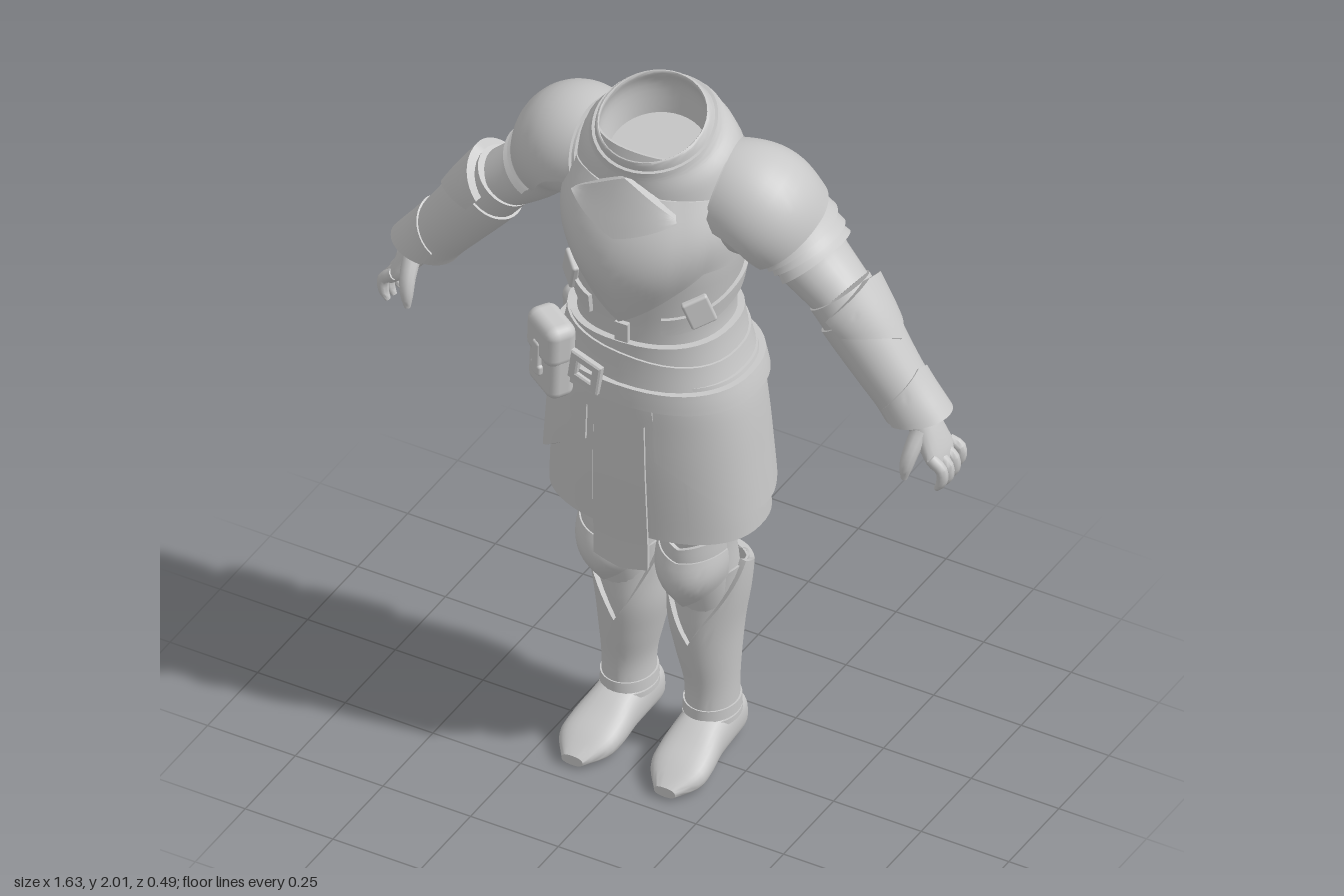
import * as THREE from 'three';
import { toCreasedNormals } from 'three/addons/utils/BufferGeometryUtils.js';
import { RoundedBoxGeometry } from 'three/addons/geometries/RoundedBoxGeometry.js';

const PI = Math.PI, { abs, sin, cos, max, min } = Math;
const V = (x, y, z) => new THREE.Vector3(x, y, z);
const lerp = THREE.MathUtils.lerp;
const grey = new THREE.MeshStandardMaterial({ color: 0xc8c8c8, side: THREE.DoubleSide });
grey.name = 'plain grey';

// Swept surface through sections [x, y, z, ru, rv]; angle 0 faces ref, s counts sections
function sweep(rows, { ref = V(0, 0, 1), dir = null, p = 1 } = {}) {
  const path = new THREE.CatmullRomCurve3(rows.map(r => V(r[0], r[1], r[2])), false, 'catmullrom');
  const size = new THREE.CatmullRomCurve3(rows.map(r => V(r[3], r[4], 0)), false, 'catmullrom');
  const n = rows.length - 1;
  const surf = (a, s, off = 0, k = 1) => {
    const u = min(1, max(0, s / n)), c = path.getPoint(u), r = size.getPoint(u);
    const T = dir || path.getTangent(u);
    const B = ref.clone().addScaledVector(T, -ref.dot(T)).normalize();
    const U = B.clone().cross(T);
    const pw = w => Math.sign(w) * abs(w) ** p;
    return c.addScaledVector(U, k * (r.x + off) * pw(sin(a))).addScaledVector(B, k * (r.y + off) * pw(cos(a)));
  };
  surf.n = n;
  return surf;
}

// Level body sections [rx, zFront, zBack] every 0.1 down from yTop, addressed by height
function levels(yTop, rows) {
  const f = sweep(rows.map(([rx, zf, zb], i) => [0, yTop - i * 0.1, (zf + zb) / 2, rx, (zf - zb) / 2]),
    { dir: V(0, -1, 0), p: 0.87 });
  return (a, y, off, k) => f(a, (yTop - y) * 10, off, k);
}

function gridMesh(name, nu, nv, at, crease = 0.7) {
  const pos = [], idx = [], w = nv + 1;
  for (let i = 0; i <= nu; i++) for (let j = 0; j <= nv; j++) pos.push(...at(i, j).toArray());
  for (let i = 0; i < nu; i++) for (let j = 0; j < nv; j++) {
    const q = i * w + j;
    idx.push(q, q + 1, q + w, q + w, q + 1, q + w + 1);
  }
  const g = new THREE.BufferGeometry();
  g.setAttribute('position', new THREE.Float32BufferAttribute(pos, 3));
  g.setIndex(idx);
  const m = new THREE.Mesh(toCreasedNormals(g, crease), grey);
  m.name = name;
  return m;
}

// Closed tube with capped ends
function tube(name, S, t0 = 0, t1 = S.n, nu = 28, nv = 16) {
  return gridMesh(name, nu, nv + 2, (i, j) => {
    const v = min(1, max(0, (j - 1) / nv));
    return S(-PI + 2 * PI * i / nu, lerp(t0, t1, v), 0, j === 0 || j === nv + 2 ? 0 : 1);
  });
}

// Armour plate lying on a surface, with edges turned in
function plate(name, S, a0, a1, top, bot, off = 0.015, nu = 28, nv = 8) {
  const fn = f => (typeof f === 'function' ? f : () => f);
  const [T, B, O] = [top, bot, off].map(fn);
  return gridMesh(name, nu + 2, nv + 2, (i, j) => {
    const u = min(1, max(0, (i - 1) / nu)), v = min(1, max(0, (j - 1) / nv));
    const rim = i === 0 || j === 0 || i === nu + 2 || j === nv + 2, a = lerp(a0, a1, u);
    return S(a, lerp(T(a), B(a), v), rim ? -0.006 : O(a, v));
  });
}

function box(name, w, h, d, x, y, z, ry = 0, rz = 0) {
  const m = new THREE.Mesh(new RoundedBoxGeometry(w, h, d, 3, min(w, h, d) * 0.35), grey);
  m.name = name;
  m.position.set(x, y, z);
  m.rotation.set(0, ry, rz);
  return m;
}

function group(name, ...parts) {
  const g = new THREE.Group();
  g.name = name;
  g.add(...parts);
  return g;
}

function buildTorso() {
  const S = levels(1.9, [[0.17, 0.11, -0.16], [0.21, 0.142, -0.195], [0.232, 0.172, -0.2], [0.228, 0.185, -0.195],
    [0.212, 0.178, -0.18], [0.198, 0.172, -0.165], [0.21, 0.175, -0.175], [0.24, 0.185, -0.185]]);
  const g = group('torso', plate('tunic', S, -PI, PI, 1.9, 1.2, 0, 48, 20));
  // breastplate with a centre ridge and pointed lower edge
  g.add(plate('breastplate', S, -1.45, 1.45, a => 1.79 + 0.02 * cos(a), a => 1.435 + 0.17 * min(1, abs(a) / 0.95),
    (a, v) => 0.01 + 0.036 * sin(PI * v) * cos(a) ** 2 + 0.016 * max(0, 1 - abs(a) / 0.6), 40, 14));
  g.add(plate('chestDiamond', S, -0.54, 0.54, a => 1.86 - 0.08 * abs(a) / 0.54, a => 1.71 + 0.065 * abs(a) / 0.54,
    (a, v) => 0.046 + 0.012 * v - 0.012 * abs(a), 16, 6));
  g.add(plate('bellyTab', S, -0.06, 0.06, 1.42, 1.35, 0.014, 4, 3));
  // layered chevrons on the back
  g.add(plate('backPlate', S, PI - 1.1, PI + 1.1, 1.87, a => 1.48 + 0.24 * abs(a - PI), 0.014, 36, 12));
  g.add(plate('backChevron', S, PI - 0.75, PI + 0.75, a => 1.72 + 0.14 * abs(a - PI),
    a => 1.6 + 0.2 * abs(a - PI), 0.022, 24, 6));
  // crossing rib straps, buckles and waist bands
  for (const s of [1, -1]) {
    g.add(plate('ribStrap', S, s * 1.9 - 1.45, s * 1.9 + 1.45, a => 1.5 - 0.05 * cos(a), a => 1.45 - 0.05 * cos(a), 0.01));
    const b = S(s * 0.95, 1.48, 0.01);
    g.add(box('ribBuckle', 0.07, 0.085, 0.02, b.x, b.y, b.z, s * 0.75, s * 0.35));
  }
  g.add(plate('waistBand', S, -PI, PI, a => 1.365 + 0.012 * sin(a), a => 1.31 - 0.012 * sin(a), 0.018, 40, 4));
  g.add(plate('waistSash', S, -PI, PI, a => 1.335 - 0.025 * sin(a), a => 1.25 - 0.03 * sin(a), 0.024, 40, 4));
  return g;
}

function buildCollar() {
  // tilted open neck: outer flare, rim, then the hollow inside
  const S = sweep([[0, 1.825, -0.015, 0.222, 0.185], [0, 1.88, -0.005, 0.2, 0.172], [0, 1.92, 0.01, 0.16, 0.156],
    [0, 1.957, 0.027, 0.143, 0.144], [0, 1.954, 0.027, 0.135, 0.136], [0, 1.91, 0.014, 0.143, 0.138],
    [0, 1.83, 0, 0.13, 0.12]], { dir: V(0, 0.94, 0.341) });
  return group('collar', tube('gorget', S, 0, S.n, 40, 24),
    // raised front edges meeting in a V below the throat
    plate('collarFold', S, -PI, PI, a => 1.55 + 0.35 * abs(cos(a / 2)), a => 2.4 - 0.5 * max(0, -cos(a)) ** 4, 0.008, 40, 6));
}

function buildSkirt() {
  const S = levels(1.3, [[0.228, 0.185, -0.185], [0.256, 0.19, -0.192], [0.268, 0.19, -0.197], [0.275, 0.19, -0.202],
    [0.282, 0.187, -0.204], [0.288, 0.183, -0.206], [0.29, 0.18, -0.206], [0.29, 0.18, -0.206]]);
  const g = group('skirt');
  g.add(plate('underSkirt', S, 0.16, 2 * PI - 0.16, 1.29, 0.775, 0, 56, 14));
  g.add(plate('frontTabard', S, -0.21, 0.21, 1.2, a => 0.665 + 0.08 * abs(a), 0.012, 10, 12));
  g.add(plate('backPanel', S, PI - 0.44, PI + 0.44, 1.15, 0.72, 0.012, 14, 12));
  for (const s of [1, -1]) {
    // curved hip guards, lowest at the side
    const bottom = a => 1.06 - 0.21 * abs(sin(a)) ** 1.6;
    const [a0, a1] = s > 0 ? [0.3, PI - 0.3] : [-PI + 0.3, -0.3];
    g.add(plate('hipGuard', S, a0, a1, 1.26, bottom, (a, v) => 0.008 + (0.004 + 0.007 * v) * abs(sin(a)), 32, 10));
    g.add(plate('frontFlap', S, s * 0.42 - 0.19, s * 0.42 + 0.19, 1.2, a => 0.77 + 0.06 * abs(a), 0.006, 8, 12));
    g.add(plate('backTasset', S, PI + s * 0.42 - 0.4, PI + s * 0.42 + 0.4, 1.22,
      a => 1.06 + 0.22 * abs(a - PI - s * 0.42), 0.018, 14, 5));
  }
  g.add(plate('frontPoint', S, -0.3, 0.3, 1.2, a => 1.07 + 0.3 * abs(a), 0.02, 12, 5));
  g.add(plate('backPoint', S, PI - 0.35, PI + 0.35, 1.22, a => 1.02 + 0.3 * abs(a - PI), (a, v) => 0.022 + 0.018 * v, 12, 5));
  g.add(plate('belt', S, -PI, PI, 1.25, 1.195, 0.028, 48, 4));
  // square buckle frame
  const f = new THREE.Shape([[-0.045, -0.04], [0.045, -0.04], [0.045, 0.04], [-0.045, 0.04]].map(q => new THREE.Vector2(...q)));
  f.holes.push(new THREE.Path([[-0.027, -0.023], [-0.027, 0.023], [0.027, 0.023], [0.027, -0.023]].map(q => new THREE.Vector2(...q))));
  const buckle = new THREE.Mesh(new THREE.ExtrudeGeometry(f, { depth: 0.012, bevelSize: 0.004, bevelThickness: 0.004, bevelSegments: 1 }), grey);
  buckle.name = 'beltBuckle';
  buckle.position.set(-0.085, 1.255, 0.205);
  buckle.rotation.set(0, -0.2, -0.15);
  g.add(buckle);
  return g;
}

function buildPouch(x, y, z, ry, w, h) {
  const g = group('pouch', box('pouchBody', w, h, 0.075, 0, 0, 0), box('pouchFlap', w * 1.04, h * 0.55, 0.085, 0, h * 0.24, 0.004),
    box('pouchStrap', 0.03, h * 0.45, 0.02, 0, 0, 0.042), box('pouchClasp', 0.045, 0.03, 0.02, 0, -h * 0.15, 0.041));
  g.position.set(x, y, z);
  g.rotation.set(0, ry, -0.06);
  return g;
}

function buildArm() {
  const upper = sweep([[0.16, 1.76, -0.03, 0.13, 0.125], [0.262, 1.735, -0.05, 0.136, 0.14], [0.335, 1.655, -0.085, 0.096, 0.118],
    [0.395, 1.585, -0.09, 0.085, 0.1], [0.48, 1.52, -0.08, 0.076, 0.085]]);
  const fore = sweep([[0.475, 1.53, -0.075, 0.085, 0.09], [0.54, 1.45, -0.072, 0.084, 0.086], [0.61, 1.36, -0.068, 0.076, 0.076],
    [0.66, 1.295, -0.068, 0.071, 0.07], [0.7, 1.24, -0.068, 0.074, 0.07], [0.73, 1.195, -0.068, 0.078, 0.072]]);
  const g = group('arm', tube('sleeve', upper), tube('forearm', fore, 0, 3.3));
  // angle of the upper, outer side of the limb
  const out = PI / 2, d = a => abs(a - out);
  // the cuff is cut level, so it runs further down on the outer side
  const cuff = a => 4 + 0.55 * cos(d(a));
  g.add(plate('pauldron', upper, out - 1.75, out + 1.75, 0.1, a => 1.95 - 0.12 * d(a), (a, v) => 0.01 + 0.014 * v, 32, 14));
  for (let k = 0; k < 3; k++)
    g.add(plate('shoulderLame', upper, out - 1.75, out + 1.75, 1.8 + 0.38 * k, a => 2.32 + 0.38 * k - 0.1 * d(a),
      (a, v) => 0.008 + 0.014 * v, 28, 4));
  g.add(plate('vambrace', fore, out - PI, out + PI, a => 0.15 + 0.45 * min(1, d(a) / 1.4), cuff, 0.007, 36, 14));
  g.add(plate('elbowPlate', fore, out - 1.5, out + 1.5, a => 0.3 * d(a) / 1.5, a => 1.6 - 0.5 * d(a), (a, v) => 0.024 - 0.01 * v, 24, 8));
  g.add(plate('cuffPlate', fore, out - 1.9, out + 1.9, a => 2.5 + 0.3 * d(a), cuff, 0.012, 24, 6));
  // hand with four curled fingers and a thumb
  const hand = group('hand', tube('palm', sweep([[0.685, 1.265, -0.068, 0.045, 0.048], [0.725, 1.21, -0.068, 0.038, 0.048],
    [0.762, 1.15, -0.066, 0.028, 0.058], [0.778, 1.125, -0.066, 0.018, 0.054]]), 0, 3, 18, 9));
  for (let k = 0; k < 4; k++) {
    const z = -0.02 - 0.031 * k, e = [0.005, 0, 0.004, 0.018][k];
    hand.add(tube('finger', sweep([[0.765, 1.15, z, 0.017, 0.016], [0.795, 1.12 + e, z - 0.002, 0.016, 0.016],
      [0.796, 1.085 + e, z - 0.002, 0.014, 0.014], [0.782, 1.06 + e, z, 0.007, 0.008]]), 0, 3, 10, 9));
  }
  hand.add(tube('thumb', sweep([[0.725, 1.21, -0.04, 0.024, 0.024], [0.718, 1.165, -0.005, 0.021, 0.02],
    [0.712, 1.125, 0.01, 0.017, 0.016], [0.708, 1.09, 0.013, 0.008, 0.008]]), 0, 3, 10, 9));
  g.add(hand);
  return g;
}

function buildLeg() {
  const down = V(0, -1, 0);
  const thigh = sweep([[0.125, 1.0, 0, 0.115, 0.13], [0.12, 0.85, -0.01, 0.1, 0.115], [0.113, 0.7, -0.012, 0.088, 0.097],
    [0.113, 0.57, -0.035, 0.085, 0.095], [0.112, 0.45, -0.06, 0.08, 0.085]], { dir: down });
  // greave sections every 0.1 from the knee to the ankle
  const shin = sweep([[0.113, 0.7, -0.045, 0.1, 0.1], [0.113, 0.6, -0.057, 0.101, 0.097], [0.11, 0.5, -0.062, 0.096, 0.094],
    [0.104, 0.4, -0.062, 0.088, 0.092], [0.11, 0.3, -0.062, 0.075, 0.082], [0.118, 0.2, -0.064, 0.063, 0.072],
    [0.118, 0.1, -0.064, 0.064, 0.078]], { dir: down });
  const s = (a, y, o, k) => shin(a, (0.7 - y) * 10, o, k);
  const g = group('leg', tube('thigh', thigh));
  g.add(plate('boot', s, -PI, PI, a => 0.54 + 0.06 * abs(sin(a)), 0.08, 0, 32, 16));
  // greave with a deep V at the front, rising to points at the sides
  g.add(plate('greave', s, -PI, PI,
    a => { const b = abs(a); return b < 1.45 ? lerp(0.36, 0.615, b / 1.45) : lerp(0.615, 0.57, min(1, (b - 1.45) / 0.7)); },
    a => 0.14 - 0.02 * cos(a), (a, v) => 0.01 * (1 - v) + 0.003, 52, 14));
  for (const y of [0.15, 0.115]) g.add(plate('ankleBand', s, -PI, PI, y, y - 0.03, 0.008, 28, 3));
  // knee guard: two layered, pointed shells
  const knee = sweep([[0.113, 0.74, -0.008, 0.088, 0.098], [0.113, 0.66, -0.01, 0.09, 0.112], [0.113, 0.58, -0.015, 0.086, 0.112],
    [0.113, 0.5, -0.025, 0.074, 0.09]], { dir: down });
  g.add(plate('kneeUpper', knee, -1.35, 1.35, a => 0.5 - 0.35 * abs(sin(a)), a => 1.4 - 0.3 * abs(a), 0.004, 20, 6));
  g.add(plate('kneeGuard', knee, -1.35, 1.35, a => 0.95 - 0.2 * abs(a), a => 2.9 - 0.85 * abs(a),
    (a, v) => 0.008 + 0.016 * sin(PI * v) * cos(a), 24, 8));
  // shoe
  const foot = sweep([[0.118, 0.055, -0.16, 0.04, 0.048], [0.118, 0.066, -0.135, 0.06, 0.066], [0.12, 0.07, -0.06, 0.066, 0.07],
    [0.122, 0.063, 0.01, 0.069, 0.063], [0.126, 0.048, 0.08, 0.077, 0.048], [0.13, 0.035, 0.14, 0.072, 0.035],
    [0.132, 0.02, 0.2, 0.03, 0.014]], { ref: V(0, 1, 0), dir: V(0, 0, 1), p: 0.8 });
  g.add(tube('shoe', foot, 0, 6, 28, 20));
  return g;
}

export function createModel() {
  const model = group('armouredOutfit', buildTorso(), buildCollar(), buildSkirt(),
    buildPouch(-0.2, 1.255, 0.18, -0.55, 0.13, 0.225), buildPouch(-0.25, 1.14, -0.14, -2.3, 0.16, 0.19));
  for (const [side, m] of [['left', 1], ['right', -1]]) {
    const limbs = group(side + 'Limbs', buildArm(), buildLeg());
    limbs.scale.x = m;
    model.add(limbs);
  }
  return model;
}
